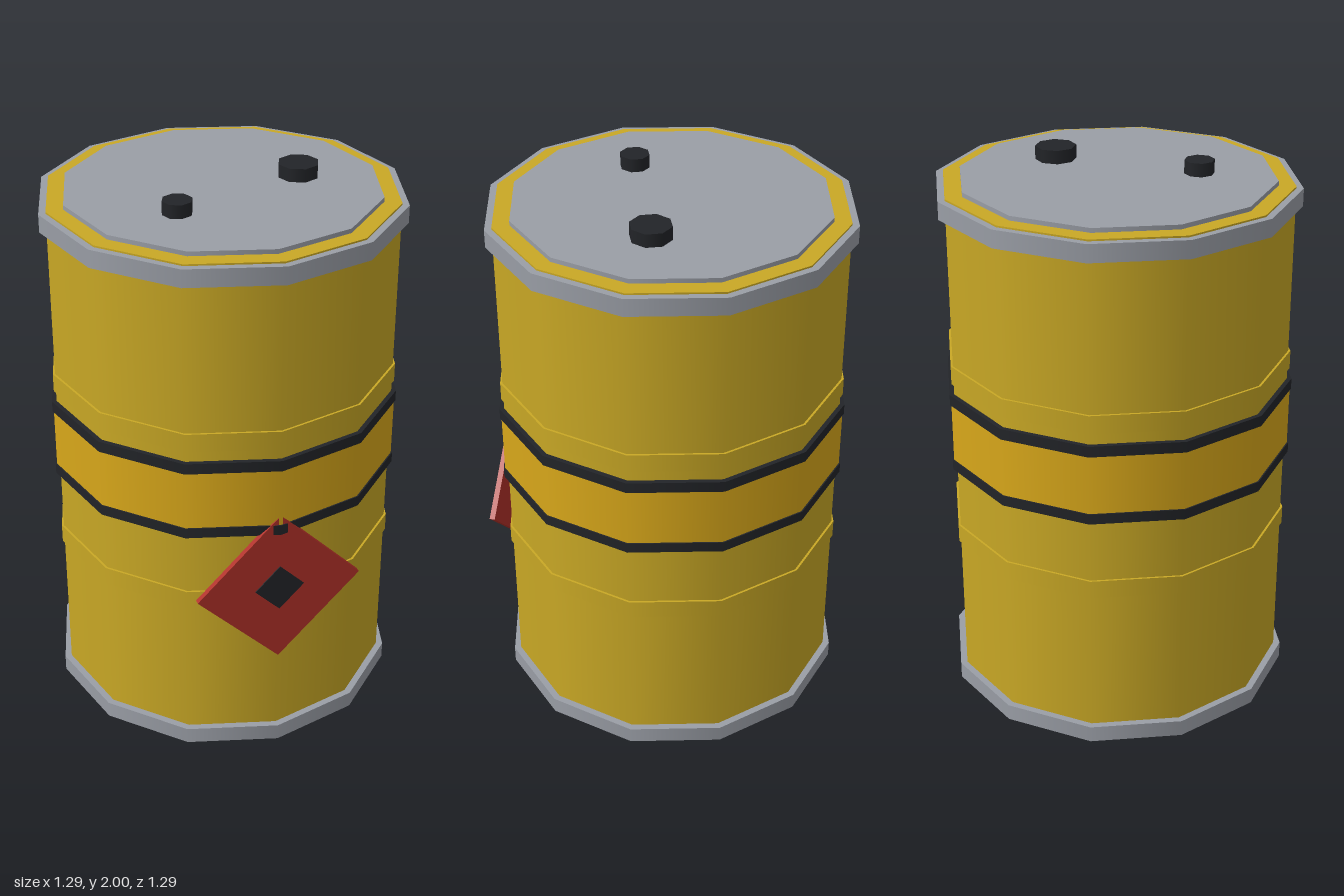
import * as THREE from 'three';

const paint = (color) => new THREE.MeshStandardMaterial({ color });

export function createModel() {
  const drum = new THREE.Group();
  drum.name = 'drum';
  const yellow = paint(0xc9a825);
  const brightYellow = paint(0xd9a81a);
  const metal = paint(0x9a9ea6);
  const dark = paint(0x222428);
  const red = paint(0xb03028);

  const add = (name, geometry, material, x, y, z) => {
    const mesh = new THREE.Mesh(geometry, material);
    mesh.name = name;
    mesh.position.set(x, y, z);
    drum.add(mesh);
    return mesh;
  };
  // Upright disc between two heights
  const disc = (name, material, radius, y0, y1, sides = 12, x = 0, z = 0) =>
    add(name, new THREE.CylinderGeometry(radius, radius, y1 - y0, sides), material, x, (y0 + y1) / 2, z);

  // Body, end rims and lid
  disc('body', yellow, 0.618, 0, 1.936, 12);
  disc('bottomRim', metal, 0.643, 0.012, 0.074);
  disc('topRim', metal, 0.643, 1.866, 1.93);
  disc('lid', metal, 0.557, 1.93, 1.952);

  // Pressed ribs
  disc('lowerRib', yellow, 0.626, 0.616, 0.684);
  disc('upperRib', yellow, 0.626, 1.256, 1.324);

  // Painted belt with dark edge stripes
  disc('belt', brightYellow, 0.63, 0.94, 1.195);
  disc('lowerStripe', dark, 0.635, 0.918, 0.956);
  disc('upperStripe', dark, 0.635, 1.175, 1.215);

  // Bung caps on the lid
  disc('largeBung', dark, 0.073, 1.945, 2, 8, 0.278, 0);
  disc('smallBung', dark, 0.053, 1.945, 2, 8, -0.217, 0.183);

  // Hazard diamond on the front
  const diamond = (name, half, depth, material, z) => {
    const side = half * Math.SQRT2;
    add(name, new THREE.BoxGeometry(side, side, depth), material, 0, 0.692, z).rotation.z = Math.PI / 4;
  };
  diamond('warningPlate', 0.3, 0.02, red, 0.618);
  diamond('warningMark', 0.09, 0.016, dark, 0.624);

  return drum;
}
